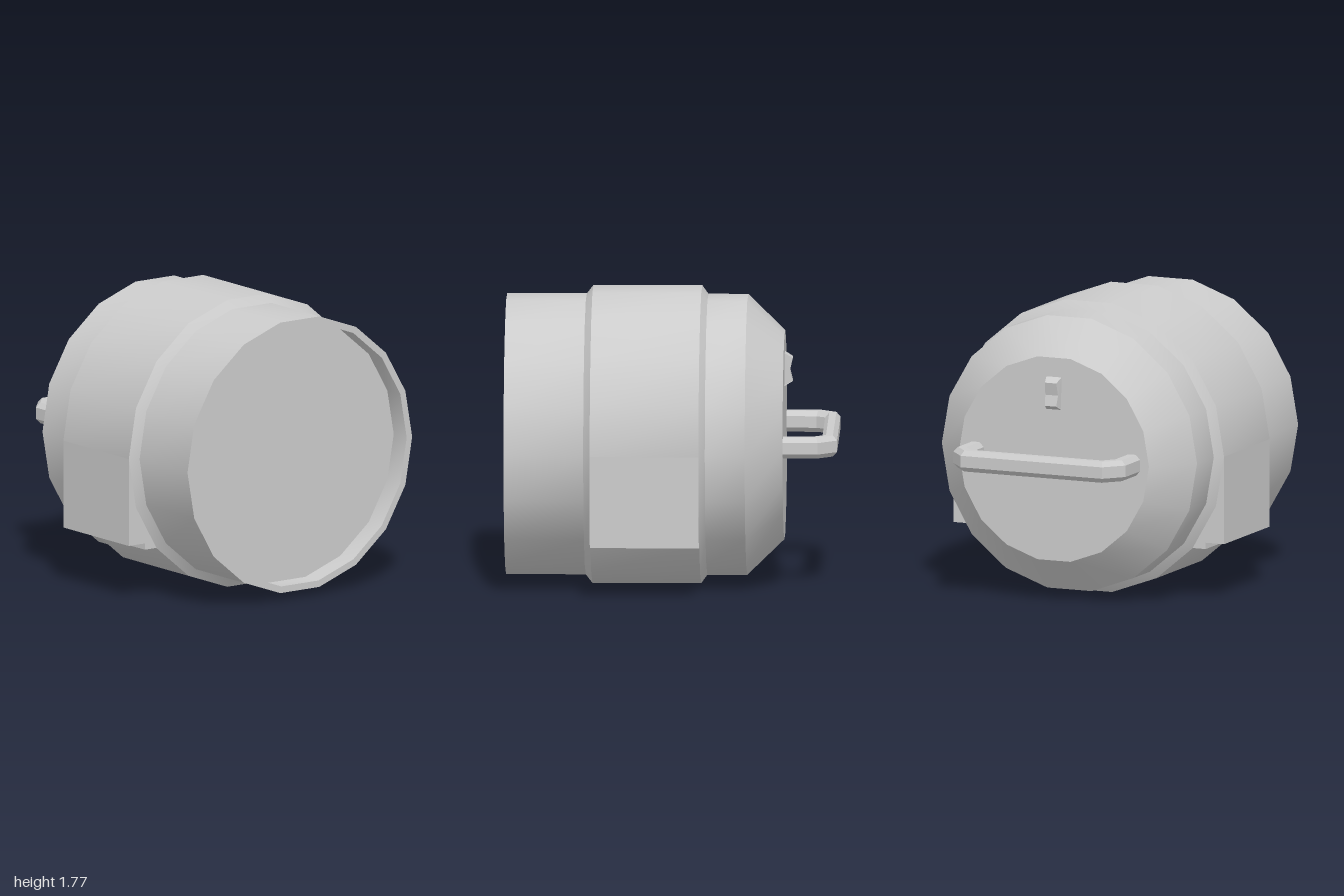
import * as THREE from 'three';
import { toCreasedNormals } from 'three/addons/utils/BufferGeometryUtils.js';

const CY = 0.884; // height of the drum axis
const material = new THREE.MeshStandardMaterial({ color: 0xcccccc });

function addMesh(parent, name, geometry) {
  const mesh = new THREE.Mesh(geometry, material);
  mesh.name = name;
  parent.add(mesh);
  return mesh;
}

const shapeOf = (points) => new THREE.Shape(points.map(([x, y]) => new THREE.Vector2(x, y)));

// 18-sided drum turned about the z axis, with raised band and recessed front
function drumGeometry() {
  const profile = [
    [0, -0.675], [0.63, -0.675], [0.846, -0.452], [0.846, -0.212], [0.897, -0.175],
    [0.897, 0.48], [0.846, 0.52], [0.846, 1], [0.805, 1], [0.805, 0.87], [0, 0.87],
  ].map(([r, z]) => new THREE.Vector2(r, z));
  const geometry = new THREE.LatheGeometry(profile, 18, Math.PI / 2);
  geometry.rotateX(Math.PI / 2);
  return toCreasedNormals(geometry, 0.55);
}

// Stepped block on the lower flank of the band
function sideBlockGeometry(side) {
  const outline = [
    [0.6, 0.31], [0.775, 0.31], [0.775, 0.349], [0.897, 0.349], [0.897, CY], [0.6, CY],
  ].map(([x, y]) => [x * side, y]);
  const geometry = new THREE.ExtrudeGeometry(shapeOf(outline), { depth: 0.655, bevelEnabled: false });
  geometry.translate(0, 0, -0.175);
  return geometry;
}

// Chamfered bar swept along a mitred path of inner and outer points
function handleGeometry() {
  const half = [
    { inner: [0.465, -0.67], outer: [0.571, -0.67] },
    { inner: [0.465, -0.855], outer: [0.571, -0.884] },
    { inner: [0.423, -0.908], outer: [0.468, -1] },
  ];
  const mirrored = half.map(({ inner, outer }) => ({
    inner: [-inner[0], inner[1]], outer: [-outer[0], outer[1]],
  })).reverse();
  const path = [...half, ...mirrored];
  // across the bar (0 inner, 1 outer), height
  const section = [
    [0, -0.035], [0.27, -0.064], [0.73, -0.064], [1, -0.035],
    [1, 0.035], [0.73, 0.064], [0.27, 0.064], [0, 0.035],
  ];
  const n = section.length;
  const positions = [];
  const index = [];
  for (const { inner, outer } of path) {
    for (const [t, y] of section) {
      positions.push(
        THREE.MathUtils.lerp(inner[0], outer[0], t), y,
        THREE.MathUtils.lerp(inner[1], outer[1], t));
    }
  }
  for (let i = 0; i < path.length - 1; i++) {
    for (let j = 0; j < n; j++) {
      const a = i * n + j;
      const b = i * n + (j + 1) % n;
      index.push(a, a + n, b, b, a + n, b + n);
    }
  }
  const geometry = new THREE.BufferGeometry();
  geometry.setAttribute('position', new THREE.Float32BufferAttribute(positions, 3));
  geometry.setIndex(index);
  return toCreasedNormals(geometry, 0.4);
}

// Small notched catch, narrowing away from the back plate
function catchGeometry() {
  const outline = [
    [0.66, 1.387], [0.675, 1.387], [0.724, 1.357], [0.707, 1.28],
    [0.724, 1.215], [0.675, 1.188], [0.66, 1.188],
  ];
  const geometry = new THREE.ExtrudeGeometry(shapeOf(outline), { depth: 0.1, bevelEnabled: false });
  geometry.translate(0, 0, -0.05);
  geometry.rotateY(Math.PI / 2);
  const p = geometry.attributes.position;
  for (let i = 0; i < p.count; i++) {
    const out = Math.max(0, -p.getZ(i) - 0.675);
    p.setX(i, p.getX(i) * (1 - out * 5));
  }
  geometry.computeVertexNormals();
  return geometry;
}

export function createModel() {
  const model = new THREE.Group();
  model.name = 'drum';

  addMesh(model, 'drumBody', drumGeometry()).position.y = CY;
  addMesh(model, 'leftSideBlock', sideBlockGeometry(1));
  addMesh(model, 'rightSideBlock', sideBlockGeometry(-1));
  addMesh(model, 'backHandle', handleGeometry()).position.y = 0.887;
  addMesh(model, 'backCatch', catchGeometry());

  return model;
}
